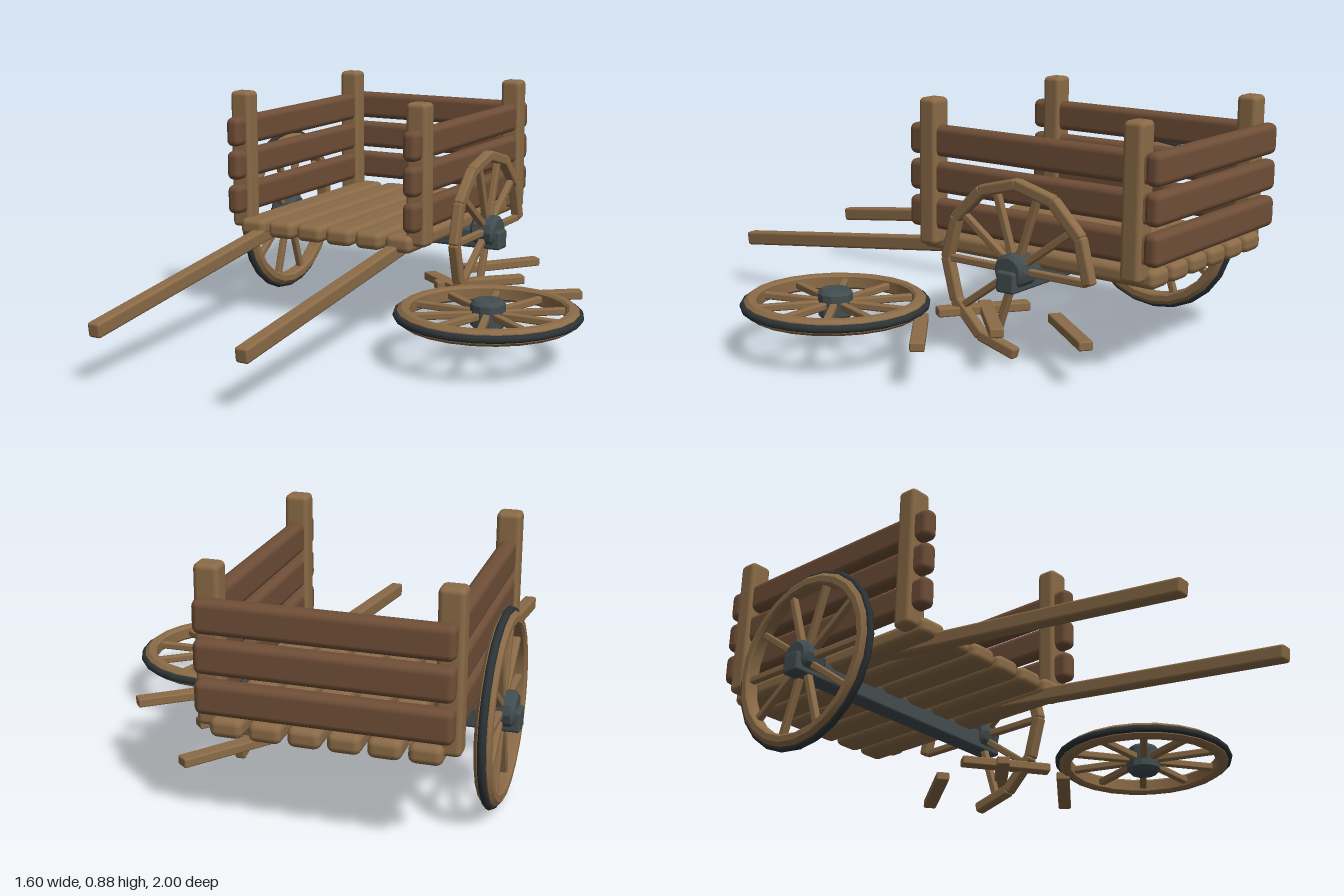
import * as THREE from 'three';
import { RoundedBoxGeometry } from 'three/addons/geometries/RoundedBoxGeometry.js';
import { toCreasedNormals } from 'three/addons/utils/BufferGeometryUtils.js';

const material = (color) => new THREE.MeshStandardMaterial({ color });
const wood = material(0x8b6b47);
const darkWood = material(0x6f4e37);
const iron = material(0x434d50);
const tyreIron = material(0x2d3336);

// Rounded block added to a parent
function block(parent, name, mat, size, pos, radius = 0.02) {
  const r = Math.min(radius, Math.min(...size) * 0.45);
  const mesh = new THREE.Mesh(new RoundedBoxGeometry(...size, 2, r), mat);
  mesh.name = name;
  mesh.position.set(...pos);
  parent.add(mesh);
  return mesh;
}

// Solid of revolution about y with crisp bevels
function turned(parent, name, mat, profile, sides) {
  const points = profile.map(([x, y]) => new THREE.Vector2(x, y));
  const mesh = new THREE.Mesh(toCreasedNormals(new THREE.LatheGeometry(points, sides), 0.5), mat);
  mesh.name = name;
  parent.add(mesh);
  return mesh;
}

function addHub(wheel) {
  turned(wheel, 'hub', iron, [[0, -0.052], [0.05, -0.052], [0.063, -0.038],
    [0.063, 0.038], [0.05, 0.052], [0, 0.052]], 12);
}

function addSpokes(wheel, count, offset = 0) {
  for (let i = 0; i < count; i++) {
    const a = offset + (i * Math.PI) / 5;
    const spoke = block(wheel, 'spoke', wood, [0.25, 0.026, 0.026],
      [Math.cos(a) * 0.165, 0, Math.sin(a) * 0.165], 0.006);
    spoke.rotation.y = -a;
  }
}

// Whole wheel lying flat, axle along y
function makeWheel(name) {
  const wheel = new THREE.Group();
  wheel.name = name;
  turned(wheel, 'rim', wood, [[0.278, -0.02], [0.286, -0.028], [0.308, -0.028], [0.322, -0.017],
    [0.322, 0.017], [0.308, 0.028], [0.286, 0.028], [0.278, 0.02], [0.278, -0.02]], 24);
  const tyre = new THREE.Mesh(new THREE.TorusGeometry(0.323, 0.014, 8, 24), tyreIron);
  tyre.name = 'tyre';
  tyre.rotation.x = Math.PI / 2;
  wheel.add(tyre);
  addHub(wheel);
  addSpokes(wheel, 10);
  return wheel;
}

// Broken wheel: three quarters of the rim, no tyre
function makeBrokenWheel() {
  const wheel = new THREE.Group();
  wheel.name = 'brokenWheel';
  for (let i = 0; i < 9; i++) {
    const a = Math.PI + ((i + 0.5) * Math.PI) / 6;
    const piece = block(wheel, 'rimPiece', wood, [0.042, 0.04, 0.164],
      [Math.cos(a) * 0.287, 0, Math.sin(a) * 0.287], 0.01);
    piece.rotation.y = -a;
  }
  addHub(wheel);
  addSpokes(wheel, 8, Math.PI);
  return wheel;
}

export function createModel() {
  const cart = new THREE.Group();
  cart.name = 'brokenCart';
  const midX = -0.278;

  // Bed
  for (let i = 0; i < 6; i++) {
    block(cart, 'bedPlank', wood, [0.11, 0.067, 0.98], [midX + (i - 2.5) * 0.1284, 0.366, -0.48], 0.024);
  }

  // Side and back boards
  for (const y of [0.474, 0.608, 0.739]) {
    for (const side of [-1, 1]) {
      block(cart, 'sideBoard', darkWood, [0.06, 0.113, 0.99], [midX + side * 0.384, y, -0.455], 0.024);
    }
    block(cart, 'backBoard', darkWood, [0.826, 0.113, 0.06], [midX, y, -0.97], 0.024);
  }

  // Corner posts
  for (const side of [-1, 1]) {
    for (const z of [-0.054, -0.902]) {
      block(cart, 'post', wood, [0.085, 0.534, 0.076], [midX + side * 0.384, 0.625, z], 0.018);
    }
  }

  // Pulling shafts
  for (const x of [-0.571, 0.018]) {
    const shaft = block(cart, 'shaft', wood, [0.05, 0.054, 1.25], [x, 0.284, 0.376], 0.01);
    shaft.rotation.x = 0.128;
  }

  // Axle and wheels
  block(cart, 'axle', iron, [1.062, 0.075, 0.075], [-0.276, 0.312, -0.482], 0.01);
  const upright = [Math.PI / 2, 0, Math.PI / 2];
  const mounted = makeWheel('mountedWheel');
  mounted.position.set(-0.739, 0.344, -0.482);
  mounted.rotation.set(...upright);
  const broken = makeBrokenWheel();
  broken.position.set(0.186, 0.344, -0.482);
  broken.rotation.set(...upright);
  const loose = makeWheel('looseWheel');
  loose.position.set(0.46, 0.183, 0.106);
  cart.add(mounted, broken, loose);

  // Loose scraps of wood: x1, z1, x2, z2
  const scraps = [[0.26, -0.82, 0.05, -0.55], [0.33, -0.51, 0.07, -0.26],
    [0.615, -0.4, 0.34, -0.19], [-0.02, -0.39, 0.255, -0.19]];
  for (const [x1, z1, x2, z2] of scraps) {
    const length = Math.hypot(x2 - x1, z2 - z1);
    const scrap = block(cart, 'scrap', wood, [length, 0.033, 0.05],
      [(x1 + x2) / 2, 0.158, (z1 + z2) / 2], 0.006);
    scrap.rotation.y = -Math.atan2(z2 - z1, x2 - x1);
  }

  return cart;
}
